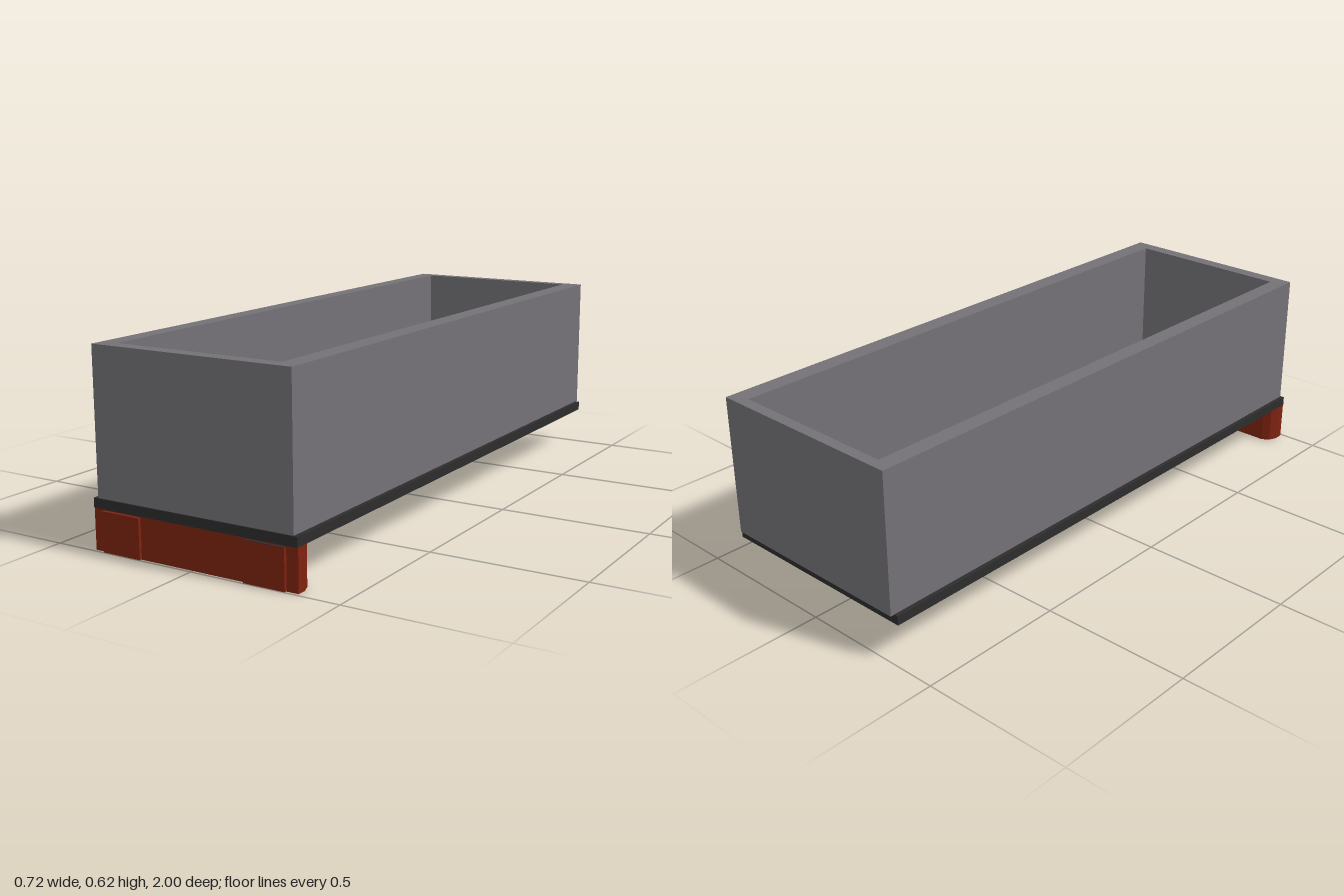
import * as THREE from 'three';

const mat = (name, color) => Object.assign(new THREE.MeshStandardMaterial({ color }), { name });

export function createModel() {
  const model = new THREE.Group();
  const grey = mat('grey wall', 0x747276);
  const black = mat('black base', 0x2d2d2d);
  const red = mat('dark red', 0x7f2310);

  const add = (name, geometry, material) => {
    const mesh = new THREE.Mesh(geometry, material);
    mesh.name = name;
    model.add(mesh);
  };
  // Box given by its limits on each axis
  const box = (name, material, x0, x1, y0, y1, z0, z1) => {
    const g = new THREE.BoxGeometry(x1 - x0, y1 - y0, z1 - z0);
    g.translate((x0 + x1) / 2, (y0 + y1) / 2, (z0 + z1) / 2);
    add(name, g, material);
  };
  // Plan outline (x, z) raised from y0 to y1
  const prism = (name, material, shape, y0, y1) => {
    const g = new THREE.ExtrudeGeometry(shape, { depth: y1 - y0, bevelEnabled: false });
    g.rotateX(Math.PI / 2).translate(0, y1, 0);
    add(name, g, material);
  };
  const outline = (points) => points.map(([x, z]) => new THREE.Vector2(x, z));
  const rect = (x0, x1, z0, z1) => outline([[x0, z0], [x1, z0], [x1, z1], [x0, z1]]);

  // Open bin: four walls and a raised floor
  const walls = new THREE.Shape(rect(-0.348, 0.347, -1, 0.988));
  walls.holes.push(new THREE.Path(rect(-0.292, 0.285, -0.964, 0.942)));
  prism('binWalls', grey, walls, 0.161, 0.623);
  box('binFloor', grey, -0.292, 0.285, 0.161, 0.226, -0.964, 0.942);

  // Base plate under the bin
  box('basePlate', black, -0.362, 0.361, 0.131, 0.162, -0.987, 0.992);

  // Front beam with rounded rear corners
  const half = [[0.362, 0.99], [0.362, 0.96], [0.35, 0.93], [0.325, 0.915]];
  const mirrored = half.map(([x, z]) => [-x, z]).reverse();
  prism('frontBeam', red, new THREE.Shape(outline([...half, ...mirrored])), 0, 0.131);

  // Raised pads on the beam; the left one has a dark top
  box('rightPad', red, -0.325, -0.187, 0.001, 0.128, 0.985, 1);
  box('leftPad', red, 0.183, 0.323, 0.001, 0.127, 0.985, 1);
  box('leftPadTop', black, 0.183, 0.323, 0.127, 0.128, 0.985, 1);

  return model;
}
